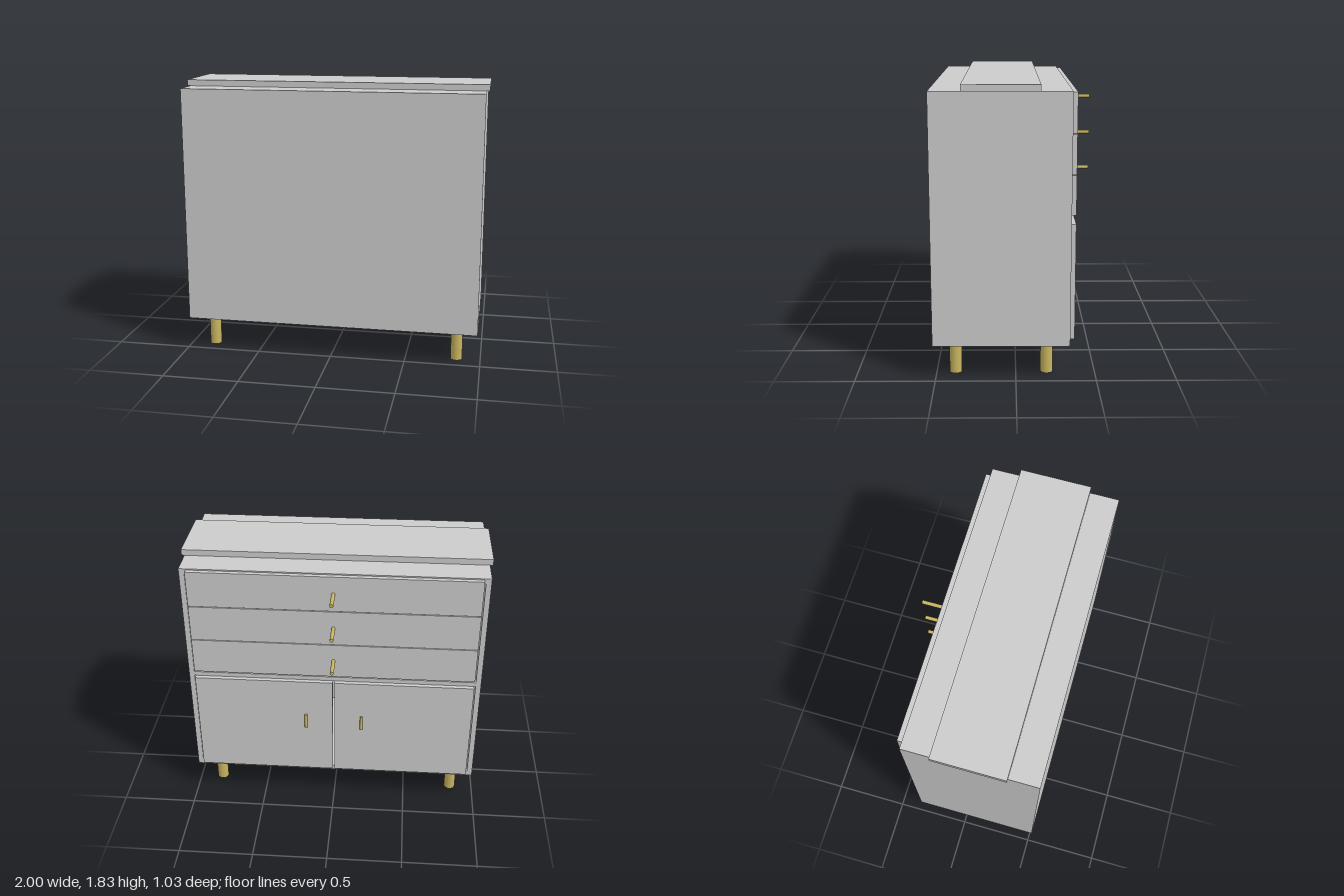
import * as THREE from 'three';

export function createModel() {
  const group = new THREE.Group();
  const grey = new THREE.MeshStandardMaterial({ color: 0xcccccc });
  const brass = new THREE.MeshStandardMaterial({ color: 0xc8b560 });

  // box given by its min and max corners
  function box(name, x0, x1, y0, y1, z0, z1) {
    const mesh = new THREE.Mesh(new THREE.BoxGeometry(x1 - x0, y1 - y0, z1 - z0), grey);
    mesh.position.set((x0 + x1) / 2, (y0 + y1) / 2, (z0 + z1) / 2);
    mesh.name = name;
    group.add(mesh);
  }
  function rod(name, radius, length, x, y, z, alongZ = false) {
    const mesh = new THREE.Mesh(new THREE.CylinderGeometry(radius, radius, length, 24), brass);
    if (alongZ) mesh.rotation.x = Math.PI / 2;
    mesh.position.set(x, y, z);
    mesh.name = name;
    group.add(mesh);
  }

  const W = 0.98, T = 0.035, Y0 = 0.22, Y1 = 1.79, ZB = 0.517, ZF = -0.335, FRONT = -0.365;
  const inner = W - T;

  // carcass panels, open on the drawer side
  box('leftSidePanel', inner, W, Y0, Y1, ZF, ZB);
  box('rightSidePanel', -W, -inner, Y0, Y1, ZF, ZB);
  box('bottomPanel', -inner, inner, Y0, Y0 + T, ZF, ZB);
  box('topPanel', -inner, inner, Y1 - T, Y1, ZF, ZB);
  box('backPanel', -inner, inner, Y0 + T, Y1 - T, ZB - 0.02, ZB);
  box('middleShelf', -inner, inner, 0.985, 1.015, ZF, ZB - 0.02);

  // raised slab on top
  box('topSlab', -1, 1, Y1, 1.83, -0.147, 0.323);

  // drawer fronts with projecting pulls
  for (let i = 0; i < 3; i++) {
    const y = 1.04 + i * 0.249;
    box('drawerFront', -0.935, 0.935, y, y + 0.244, FRONT, ZF);
    rod('drawerPull', 0.0125, 0.15, 0, y + 0.122, FRONT - 0.075, true);
  }

  // doors with upright handles, and the legs
  for (const s of [-1, 1]) {
    const a = s * 0.006, b = s * 0.935;
    box('door', Math.min(a, b), Math.max(a, b), 0.25, 0.985, FRONT, ZF);
    rod('doorHandle', 0.01, 0.105, s * 0.19, 0.667, FRONT - 0.004);
    for (const z of [0.38, -0.195]) rod('leg', 0.039, Y0, s * 0.84, Y0 / 2, z);
  }
  return group;
}
